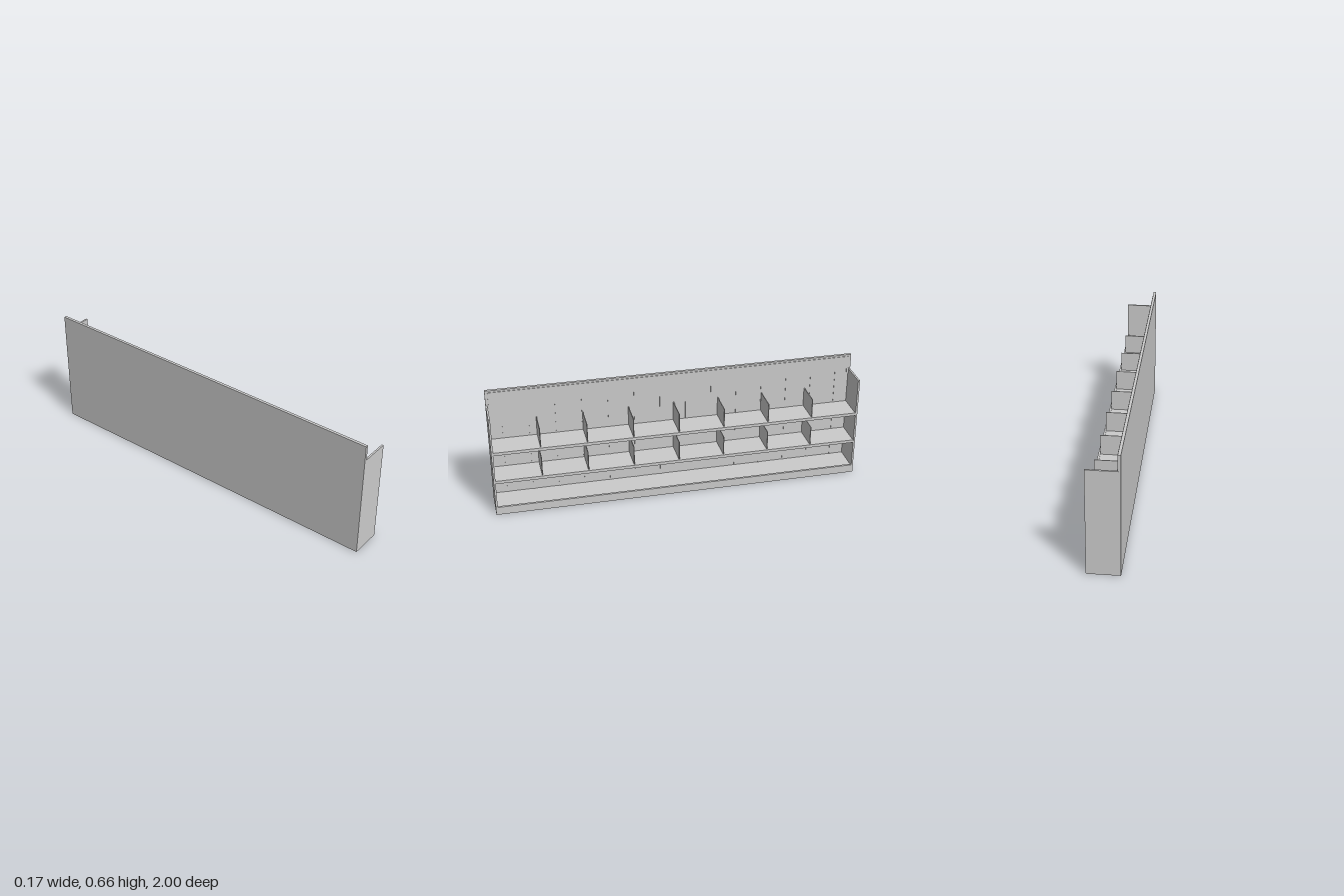
import * as THREE from 'three';

const material = new THREE.MeshStandardMaterial({ color: 0xcccccc, flatShading: true });

export function createModel() {
  const model = new THREE.Group();

  // Box given by its lower and upper limits on each axis
  function box(name, [x0, x1], [y0, y1], [z0, z1]) {
    const mesh = new THREE.Mesh(new THREE.BoxGeometry(x1 - x0, y1 - y0, z1 - z0), material);
    mesh.position.set((x0 + x1) / 2, (y0 + y1) / 2, (z0 + z1) / 2);
    mesh.name = name;
    model.add(mesh);
  }

  const inner = [-0.99, 0.99];
  const wall = -0.073; // front face of the back panel

  // Tall back panel and the header board along its top
  box('backPanel', [-0.085, wall], [0, 0.66], [-1, 1]);
  box('headerCap', [wall, -0.07], [0.575, 0.66], [-1, 1]);
  box('headerBoard', [-0.07, -0.067], [0.58, 0.65], [-0.985, 0.985]);

  // End panels with small header brackets
  for (const s of [-1, 1]) {
    const span = (a, b) => [Math.min(s * a, s * b), Math.max(s * a, s * b)];
    box('endPanel', [wall, 0.085], [0, 0.574], span(0.99, 1));
    box('headerBracket', [wall, -0.067], [0.55, 0.58], span(0.978, 0.99));
  }

  // Closed plinth with a raised front rail
  box('plinth', [wall, 0.073], [0, 0.04], inner);
  box('plinthRail', [0.073, 0.085], [0, 0.045], inner);

  // Two shelves with front rails and thin dividers
  for (const y of [0.205, 0.375]) {
    box('shelf', [wall, 0.073], [y - 0.012, y - 0.002], inner);
    box('shelfRail', [0.073, 0.083], [y - 0.016, y + 0.001], inner);
    for (let i = -3; i <= 3; i++) {
      const z = i * 0.247;
      box('divider', [wall, 0.073], [y - 0.002, y + 0.106], [z - 0.002, z + 0.002]);
    }
  }

  // Vertical battens on the back panel
  for (let i = 0; i < 14; i++) {
    const z = (i - 6.5) * 0.1412;
    box('batten', [wall, -0.071], [0.04, 0.575], [z - 0.005, z + 0.005]);
  }

  return model;
}
